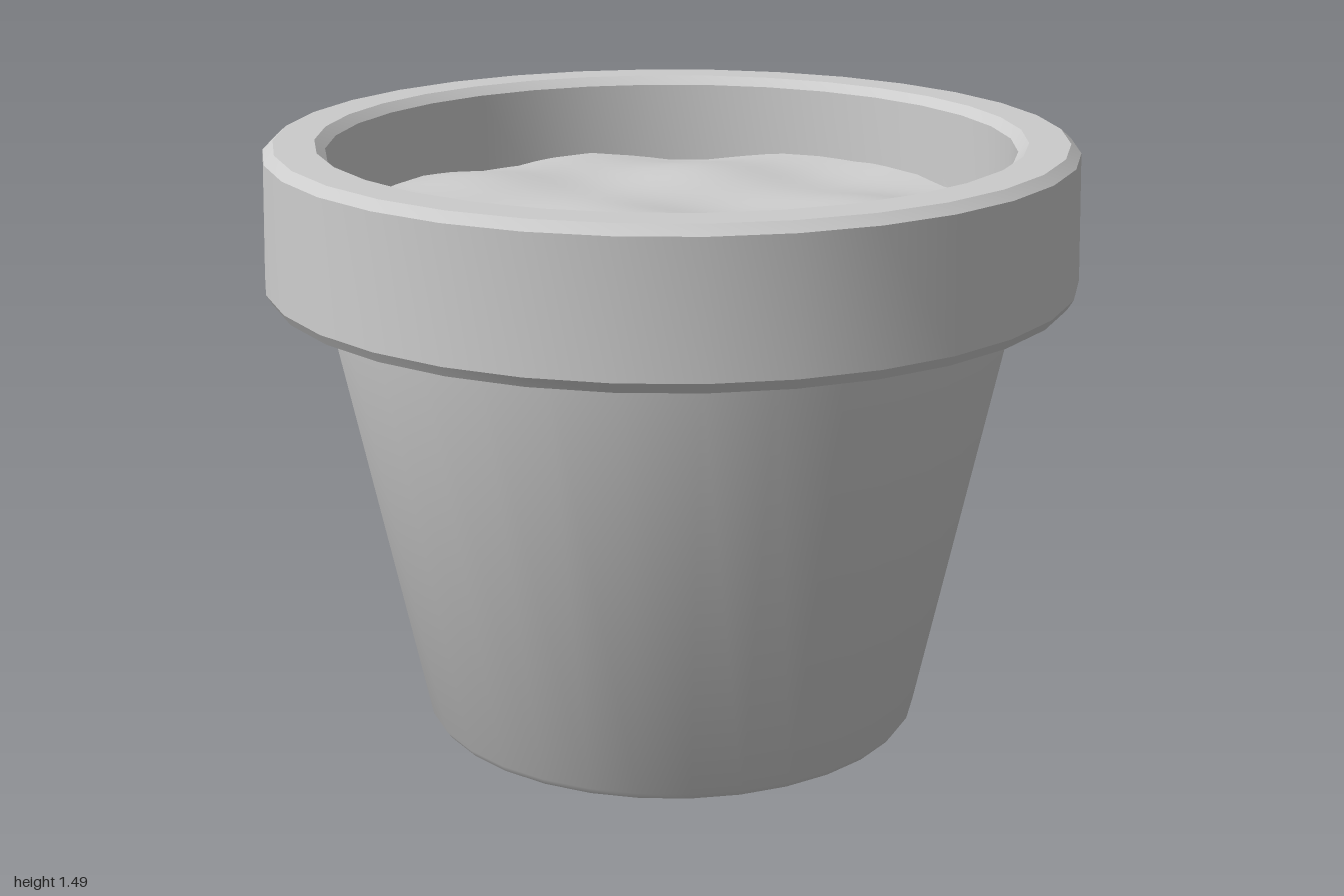
import * as THREE from 'three';
import { mergeVertices, toCreasedNormals } from 'three/addons/utils/BufferGeometryUtils.js';

const SIDES = 32;

// Turned part from [radius, height] pairs, smooth round the turn and sharp at bevels
function turned(name, profile, material) {
  const points = profile.map(([r, y]) => new THREE.Vector2(r, y));
  const geometry = toCreasedNormals(new THREE.LatheGeometry(points, SIDES), 0.5);
  const mesh = new THREE.Mesh(geometry, material);
  mesh.name = name;
  return mesh;
}

// Gentle uneven height of the earth
function bump(x, z) {
  return 0.010 * Math.sin(4.1 * x + 9.3 * z + 0.6)
    + 0.008 * Math.sin(7.7 * x - 11.2 * z + 1.9)
    + 0.006 * Math.sin(12.4 * x + 5.8 * z + 4.0);
}

function soil(material) {
  let geometry = new THREE.RingGeometry(0, 0.845, 48, 24);
  geometry.rotateX(-Math.PI / 2);
  geometry.deleteAttribute('uv');
  geometry.deleteAttribute('normal');
  geometry = mergeVertices(geometry);
  const p = geometry.attributes.position;
  for (let i = 0; i < p.count; i++) {
    p.setY(i, 1.28 + bump(p.getX(i), p.getZ(i)));
  }
  geometry.computeVertexNormals();
  const mesh = new THREE.Mesh(geometry, material);
  mesh.name = 'soil';
  return mesh;
}

export function createModel() {
  const clay = new THREE.MeshStandardMaterial({ color: 0xcccccc });
  const model = new THREE.Group();
  model.name = 'flowerPot';

  // Tapered wall with a rounded foot, running straight up inside the collar
  model.add(turned('body', [
    [0, 0], [0.595, 0], [0.617, 0.007], [0.63, 0.025],
    [0.86, 1.13], [0.865, 1.3],
  ], clay));

  // Collar: hollow underneath, bevelled lips, inner wall down past the soil
  model.add(turned('rim', [
    [0.86, 1.28], [0.965, 1.28], [0.965, 1.145], [0.975, 1.13], [0.985, 1.13],
    [1.0, 1.155], [0.99, 1.468], [0.965, 1.49],
    [0.865, 1.49], [0.84, 1.468], [0.83, 1.2],
  ], clay));

  // Earth filling
  model.add(soil(clay));
  return model;
}
